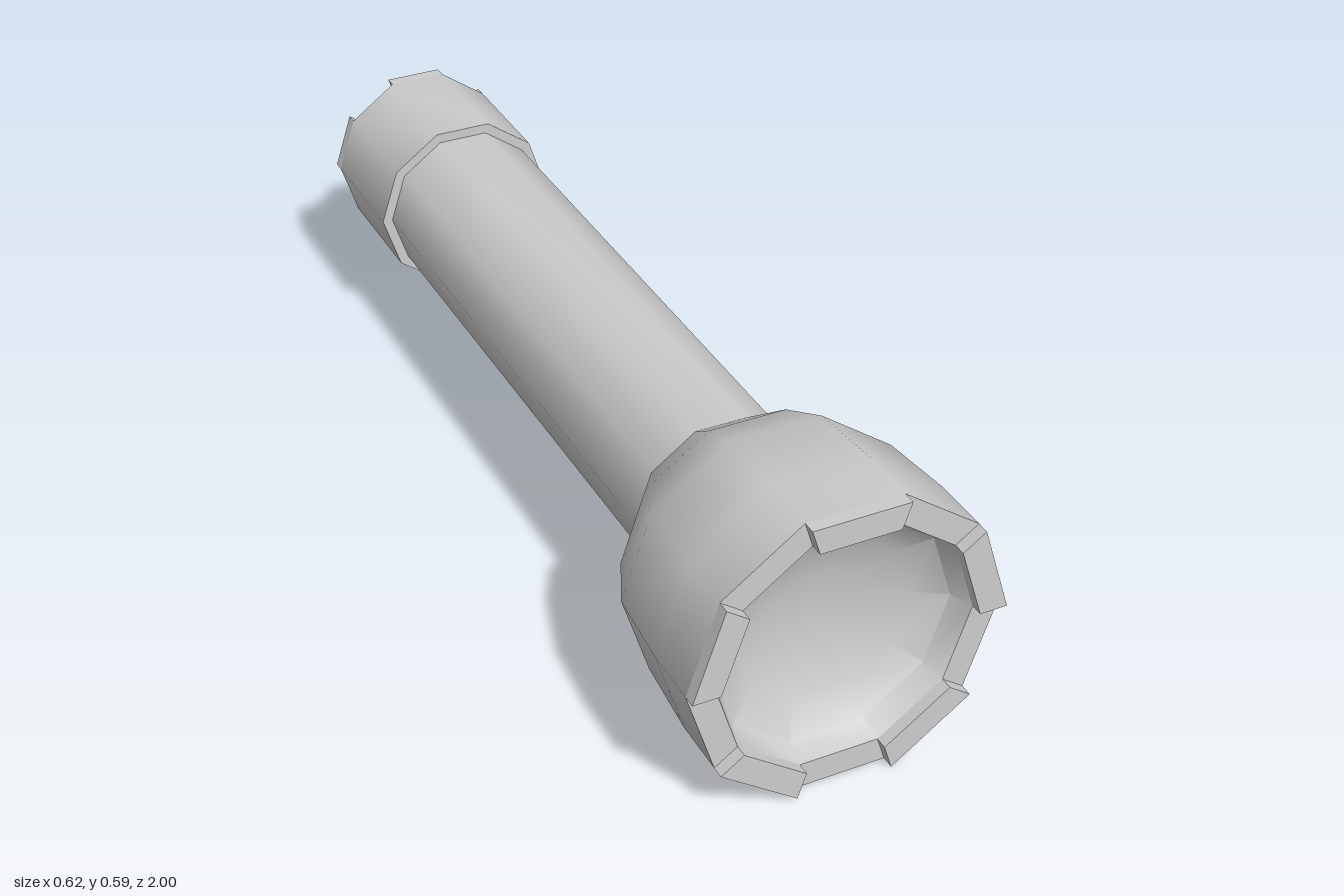
import * as THREE from 'three';
import { toCreasedNormals } from 'three/addons/utils/BufferGeometryUtils.js';

const SIDES = 10;
const STEP = (Math.PI * 2) / SIDES;

export function createModel() {
  const group = new THREE.Group();
  const material = new THREE.MeshStandardMaterial({ color: 0xcccccc });

  function add(name, geometry, x, y, z = 0) {
    const mesh = new THREE.Mesh(geometry, material);
    mesh.name = name;
    mesh.position.set(x, y, z);
    group.add(mesh);
  }

  // Ten-sided turned part along z, from [radius, z] pairs
  function turned(profile) {
    const points = profile.map(([r, z]) => new THREE.Vector2(r, z));
    const geometry = new THREE.LatheGeometry(points, SIDES, Math.PI / 2);
    geometry.rotateX(Math.PI / 2);
    return toCreasedNormals(geometry, Math.PI / 4);
  }

  // Raised blocks on every other side of a rim
  function addTeeth(name, outer, inner, depth, x, y, z) {
    for (let i = 0; i < SIDES; i += 2) {
      const a = i * STEP, b = a + STEP;
      const corner = (r, t) => new THREE.Vector2(r * Math.cos(t), r * Math.sin(t));
      const shape = new THREE.Shape([corner(inner, a), corner(outer, a), corner(outer, b), corner(inner, b)]);
      add(name, new THREE.ExtrudeGeometry(shape, { depth, bevelEnabled: false }), x, y, z);
    }
  }

  const headY = 0.295;
  const bodyX = -0.003, bodyY = 0.298;

  // Flared head with its hollow reflector
  add('head', turned([
    [0.16, 0.5], [0.173, 0.5], [0.25, 0.6], [0.297, 0.7], [0.31, 0.86], [0.31, 0.975],
    [0.255, 0.975], [0.237, 0.93], [0.17, 0.89], [0.09, 0.87], [0, 0.865],
  ]), 0, headY);
  addTeeth('headTooth', 0.31, 0.255, 0.025, 0, headY, 0.975);

  // Straight handle
  add('handle', turned([[0.173, -0.75], [0.173, 0.52]]), bodyX, bodyY);

  // Tail cap with a recessed button
  add('tailCap', turned([
    [0.125, -0.92], [0.155, -0.92], [0.155, -0.975], [0.195, -0.975], [0.195, -0.71], [0.165, -0.71],
  ]), bodyX, bodyY);
  addTeeth('tailTooth', 0.195, 0.155, 0.025, bodyX, bodyY, -1);
  add('tailButton', turned([[0, -0.957], [0.11, -0.95], [0.125, -0.94], [0.125, -0.915]]), bodyX, bodyY);

  return group;
}
